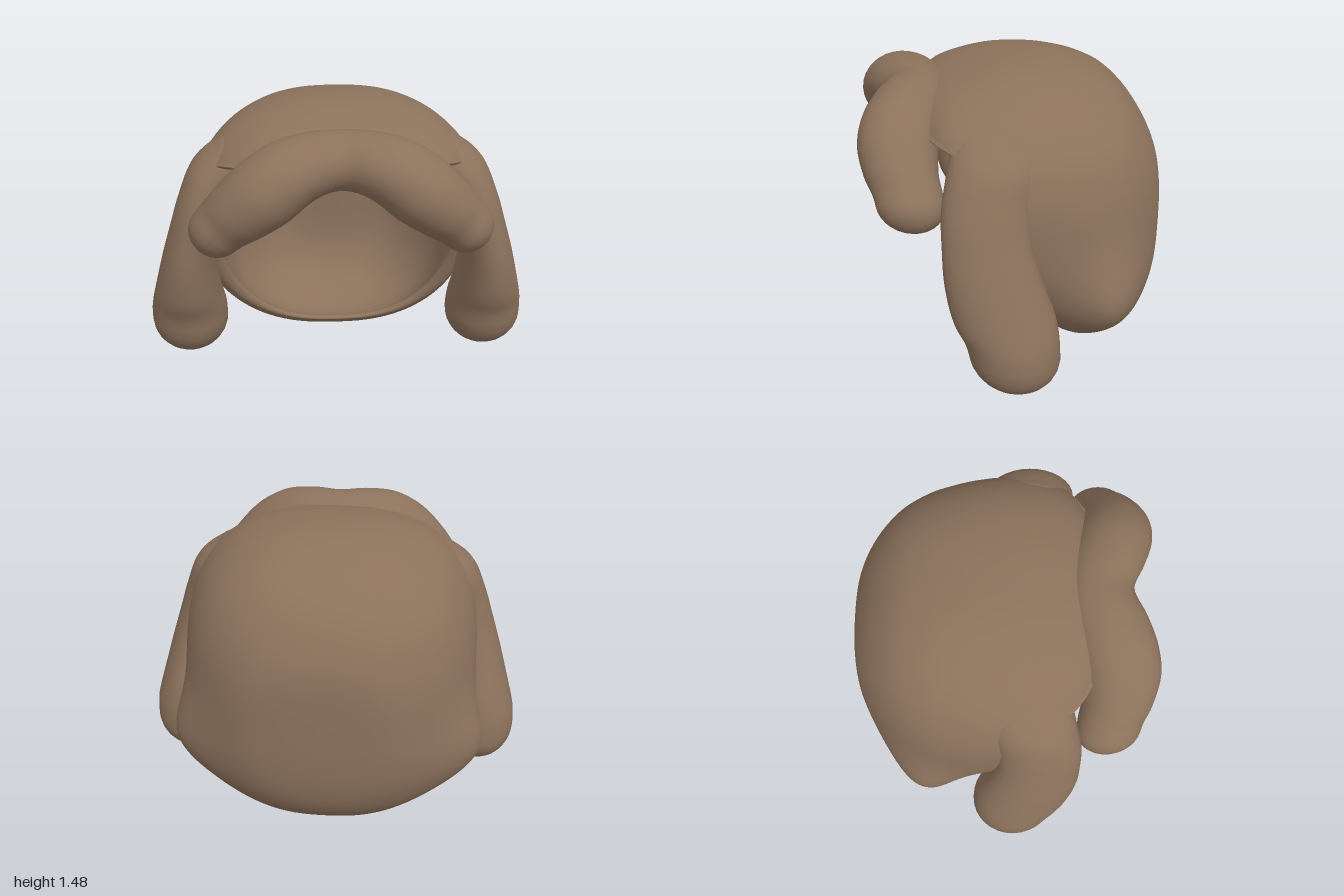
import * as THREE from 'three';

const hair = new THREE.MeshStandardMaterial({ color: 0x8c725c });
hair.name = 'brown hair';

// Smooth interpolation through a list of equal-length rows; u is a row index
function sample(rows, u) {
  const last = rows.length - 1;
  const i = Math.min(Math.floor(u), last - 1), t = u - i;
  const p = (k) => rows[Math.max(0, Math.min(last, k))];
  return rows[i].map((_, c) => {
    const a = p(i - 1)[c], b = p(i)[c], d = p(i + 1)[c], e = p(i + 2)[c];
    return b + 0.5 * t * (d - a + t * (2 * a - 5 * b + 4 * d - e + t * (3 * (b - d) + e - a)));
  });
}

// Skin a list of closed loops of points
function skin(name, loops) {
  const n = loops[0].length, index = [];
  for (let i = 0; i < loops.length - 1; i++) {
    for (let j = 0; j < n; j++) {
      const k = (j + 1) % n;
      const a = i * n + j, b = i * n + k, c = a + n, d = b + n;
      index.push(a, b, c, b, d, c);
    }
  }
  const geo = new THREE.BufferGeometry();
  geo.setAttribute('position', new THREE.Float32BufferAttribute(loops.flat(2), 3));
  geo.setIndex(index);
  geo.computeVertexNormals();
  const mesh = new THREE.Mesh(geo, hair);
  mesh.name = name;
  return mesh;
}

// Round-ended strand; stations are [x, y, z, radius across, radius in z]
function strand(name, stations, sides = 32, steps = 8) {
  const last = stations.length - 1, loops = [];
  const ring = (u, cap, dir) => {
    const [x, y, z, ra, rz] = sample(stations, u);
    const p = sample(stations, Math.max(0, u - 0.05)), q = sample(stations, Math.min(last, u + 0.05));
    const len = Math.hypot(q[0] - p[0], q[1] - p[1]);
    const [tx, ty, tz] = [0, 1, 2].map((k) => (q[k] - p[k]) / len);
    const push = dir * ra * Math.sin(cap), k = Math.cos(cap);
    loops.push(Array.from({ length: sides }, (_, j) => {
      const a = (j / sides) * Math.PI * 2, r = ra * k * Math.cos(a);
      return [x + tx * push - ty * r, y + ty * push + tx * r, z + tz * push + rz * k * Math.sin(a)];
    }));
  };
  const capAngle = (i) => (i / 8) * 1.565;
  for (let i = 8; i > 0; i--) ring(0, capAngle(i), -1);
  for (let i = 0; i <= last * steps; i++) ring(i / steps, 0, 0);
  for (let i = 1; i <= 8; i++) ring(last, capAngle(i), 1);
  return skin(name, loops);
}

// Hollow cap: slices from the back of the head forward [z, top, bottom, half width]
const slices = [
  [-0.75, 0.7, 0.7, 0], [-0.744, 0.95, 0.46, 0.21], [-0.71, 1.09, 0.27, 0.37],
  [-0.62, 1.25, 0.12, 0.51], [-0.5, 1.37, 0.037, 0.62], [-0.37, 1.432, 0.003, 0.69],
  [-0.25, 1.463, 0.03, 0.722], [-0.12, 1.478, 0.13, 0.738], [0.05, 1.475, 0.3, 0.735],
  [0.2, 1.45, 0.4, 0.71], [0.34, 1.41, 0.5, 0.645], [0.43, 1.36, 0.55, 0.52],
];

function capPoint(v, angle, fullness) {
  const s = Math.sin(angle), c = Math.cos(angle);
  // the opening slopes: far forward at the crown, further back at the nape
  const rim = s > 0
    ? 8.6 + 2.4 * THREE.MathUtils.smoothstep(s, 0.3, 0.8)
    : 8.6 - 1.6 * Math.pow(-s, 0.6);
  const [z, top, bottom, w] = sample(slices, v * rim);
  const round = (t) => Math.sign(t) * Math.pow(Math.abs(t), 0.8);
  const y = (top + bottom) / 2 + ((top - bottom) / 2) * round(s);
  // fuller hair low on each side
  const bulge = fullness * Math.exp(-(((z + 0.45) / 0.2) ** 2) - ((y - 0.42) / 0.25) ** 2);
  return [(w + bulge) * round(c), y, z];
}

function makeCap() {
  const sides = 96, rows = 48, loops = [];
  const loop = (v, fullness, sx, sy, dz) => loops.push(Array.from({ length: sides }, (_, j) => {
    const [x, y, z] = capPoint(v, (j / sides) * Math.PI * 2, fullness);
    return [x * sx, 0.74 + (y - 0.74) * sy, z + dz];
  }));
  for (let i = 0; i <= rows; i++) loop(i / rows, 0.135, 1, 1, 0);
  // rounded rim
  for (let k = 1; k < 8; k++) {
    const a = (k / 8) * Math.PI, t = (1 - Math.cos(a)) / 2;
    loop(1, 0.135 * (1 - t), 1 - 0.135 * t, 1 - 0.04 * t, 0.025 * Math.sin(a));
  }
  // inner wall, thicker at the sides than at the nape
  for (let i = rows; i >= 0; i--) {
    const v = i / rows;
    loop(v, 0, 0.865, 0.88 + 0.08 * v * v, 0.09 * (1 - v));
  }
  return skin('hairCap', loops);
}

export function createModel() {
  const model = new THREE.Group();
  model.name = 'hair';
  model.add(makeCap());

  // Long lock in front of each ear
  for (const side of [1, -1]) {
    const path = [
      [0.52, 1.22, 0.12, 0.11, 0.2], [0.61, 1.13, 0.14, 0.128, 0.21],
      [0.68, 1.0, 0.175, 0.117, 0.202], [0.73, 0.85, 0.178, 0.117, 0.203],
      [0.765, 0.68, 0.155, 0.137, 0.222], [0.785, 0.5, 0.11, 0.17, 0.238],
      [0.793, 0.38, 0.073, 0.195, 0.224], [0.795, 0.29, 0.06, 0.2, 0.217],
    ].map(([x, ...rest]) => [x * side, ...rest]);
    model.add(strand(side > 0 ? 'leftLock' : 'rightLock', path));
  }

  // Parted fringe, mirrored about the middle and sunk into the cap's front edge
  const half = [
    [0.13, 1.3, 0.49, 0.145, 0.185], [0.25, 1.262, 0.53, 0.163, 0.192],
    [0.36, 1.19, 0.553, 0.168, 0.188], [0.47, 1.1, 0.545, 0.152, 0.17],
    [0.54, 1.035, 0.52, 0.136, 0.158], [0.58, 0.995, 0.51, 0.129, 0.154],
  ];
  const mirrored = half.map(([x, ...rest]) => [-x, ...rest]).reverse();
  model.add(strand('fringe', [...mirrored, [0, 1.308, 0.455, 0.137, 0.165], ...half]));

  return model;
}
